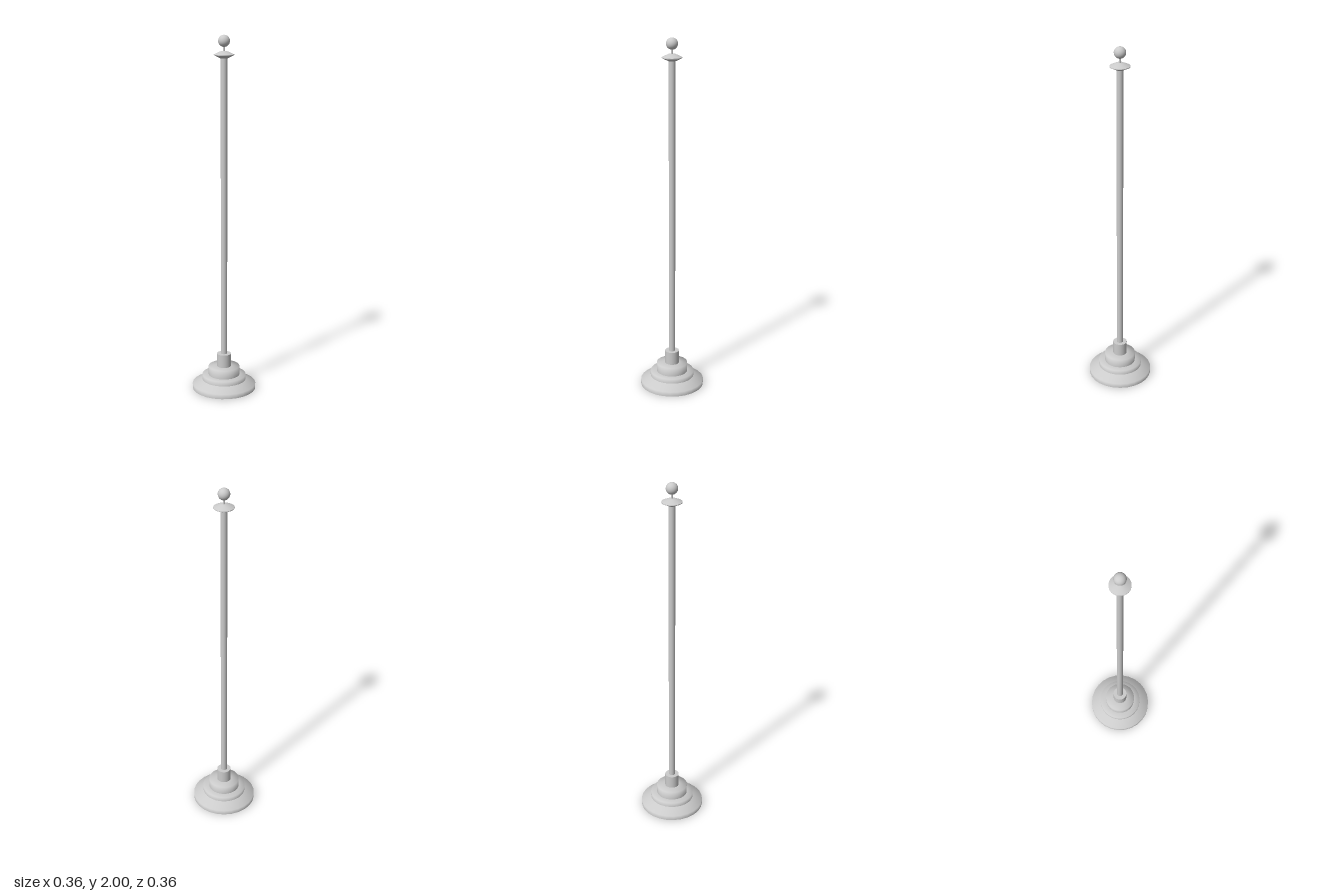
import * as THREE from 'three';

const material = new THREE.MeshStandardMaterial({ color: 0xcccccc });

// Turned part: profile runs bottom to top as [radius, height].
function turned(name, profile, sides) {
  const points = profile.map(([r, y]) => new THREE.Vector2(r, y));
  const mesh = new THREE.Mesh(new THREE.LatheGeometry(points, sides), material);
  mesh.name = name;
  mesh.rotation.y = Math.PI / 2; // a corner points along x
  return mesh;
}

// Straight round part between two heights.
function rod(name, radius, bottom, top, sides) {
  const mesh = new THREE.Mesh(new THREE.CylinderGeometry(radius, radius, top - bottom, sides), material);
  mesh.name = name;
  mesh.position.y = (bottom + top) / 2;
  mesh.rotation.y = Math.PI / 2;
  return mesh;
}

export function createModel() {
  const model = new THREE.Group();
  model.name = 'postStand';

  // Flared foot; the doubled point keeps the underside's edge sharp
  model.add(turned('foot', [[0, 0], [0.18, 0], [0.18, 0], [0.18, 0.027], [0.12, 0.055]], 26));

  // Softly shaded steps of the base
  model.add(turned('lowerStep', [[0.124, 0.045], [0.124, 0.08], [0.08, 0.08]], 48));
  model.add(turned('upperStep', [[0.088, 0.075], [0.088, 0.13], [0.035, 0.13]], 48));

  // Collar and pole
  model.add(rod('collar', 0.04, 0.12, 0.205, 32));
  model.add(rod('pole', 0.018, 0.2, 1.885, 26));

  // Thin double-cone cap
  model.add(turned('cap', [
    [0, 1.876], [0.02, 1.876], [0.055, 1.893], [0.055, 1.893],
    [0.055, 1.897], [0.055, 1.897], [0.02, 1.913], [0, 1.915],
  ], 32));

  // Finial stem and ball
  model.add(rod('finialStem', 0.006, 1.905, 1.945, 16));
  const ball = new THREE.Mesh(new THREE.SphereGeometry(0.032, 32, 20), material);
  ball.name = 'finialBall';
  ball.position.y = 1.968;
  model.add(ball);

  return model;
}
